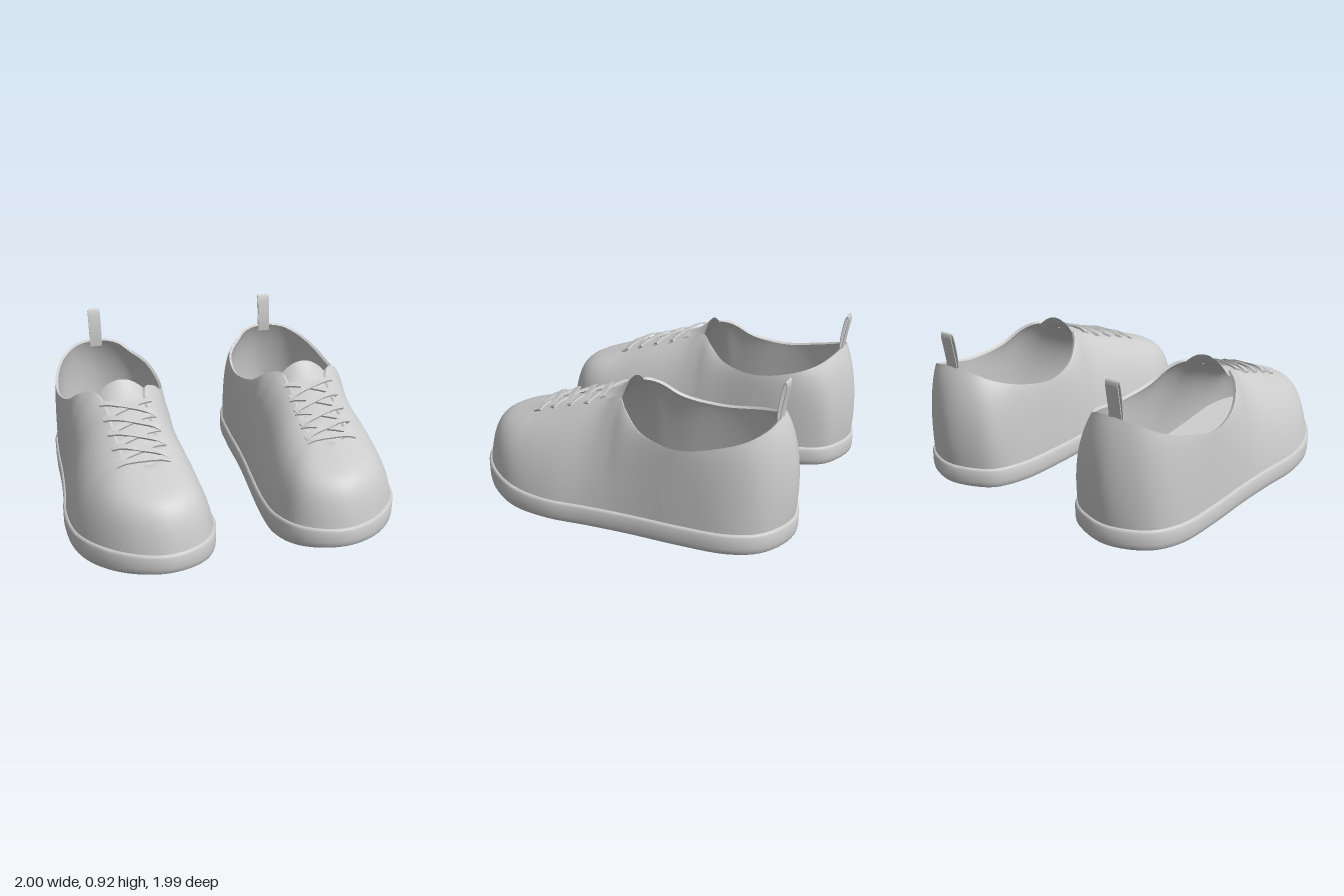
import * as THREE from 'three';
import { toCreasedNormals } from 'three/addons/utils/BufferGeometryUtils.js';

const V = (x, y, z) => new THREE.Vector3(x, y, z);
const { lerp, smoothstep } = THREE.MathUtils;
const AROUND = 130;

// Sole outline [x, z] from the heel, along the outer side, round the toe and back
const SOLE = [
  [.59, -1], [.75, -.955], [.86, -.87], [.93, -.72], [.955, -.45], [.96, -.2], [.965, -.08],
  [.97, 0], [.98, .13], [1, .35], [.965, .6], [.86, .79], [.7, .93], [.52, .99], [.36, .955],
  [.24, .86], [.17, .69], [.162, .5], [.185, .13], [.195, 0], [.2, -.08], [.205, -.2],
  [.21, -.45], [.235, -.72], [.31, -.89], [.43, -.965],
];
// Collar and throat edge [x, y, z], point for point with the outline
const RIM = [
  [.59, .71, -.9], [.74, .69, -.885], [.84, .645, -.8], [.9, .6, -.65], [.925, .56, -.43],
  [.885, .6, -.2], [.82, .685, -.08], [.745, .72, -.01], [.7, .68, .09], [.685, .6, .33],
  [.665, .54, .52], [.64, .525, .58], [.6, .52, .6], [.555, .52, .605], [.51, .52, .6],
  [.47, .525, .58], [.45, .54, .52], [.44, .6, .33], [.445, .68, .09], [.425, .72, -.01],
  [.36, .685, -.08], [.3, .6, -.2], [.255, .56, -.43], [.29, .6, -.68], [.38, .645, -.81],
  [.46, .69, -.875],
];
const soleCurve = new THREE.CatmullRomCurve3(SOLE.map(([x, z]) => V(x, 0, z)), true);
const rimCurve = new THREE.CatmullRomCurve3(RIM.map((p) => V(...p)), true);

// Underside and top edge of the sole, lifted towards the toe
const low = (z) => .05 * Math.max(0, (z - .5) / .5) ** 2;
const high = (z) => .12 + .045 * smoothstep(z, .35, 1);

// Surface through rows of points; closed rows join end to start
function loft(rows, closed) {
  const n = rows[0].length, index = [];
  for (let i = 0; i < rows.length - 1; i++) {
    for (let j = 0; j < (closed ? n : n - 1); j++) {
      const k = (j + 1) % n, a = i * n, b = a + n;
      index.push(a + j, b + j, a + k, b + j, b + k, a + k);
    }
  }
  const g = new THREE.BufferGeometry().setFromPoints(rows.flat());
  g.setIndex(index);
  g.computeVertexNormals();
  return g;
}

// Outline point with its outward direction
function station(j) {
  const t = j / AROUND, p = soleCurve.getPoint(t), d = soleCurve.getTangent(t);
  return { t, p, out: V(d.z, 0, -d.x).normalize() };
}
const stations = Array.from({ length: AROUND }, (_, j) => station(j));

function soleGeometry() {
  // [inset, height from underside to top edge]; null inset closes to the midline
  const profile = [[null, 0], [.012, 0], [.004, .1], [0, .3], [0, .88], [.006, .97], [.014, 1], [.03, .98], [null, .98]];
  const rows = profile.map(([inset, f]) => stations.map(({ p, out }) => {
    const q = p.clone().addScaledVector(out, -(inset ?? .03));
    if (inset === null) q.x = .57;
    q.y = lerp(low(q.z), high(q.z), f);
    return q;
  }));
  return toCreasedNormals(loft(rows, true), .7);
}

function upperGeometry() {
  const steps = 18;
  const walls = stations.map(({ t, p, out }) => {
    const base = p.clone().addScaledVector(out, -.016);
    base.y = high(p.z) - .012;
    const rim = rimCurve.getPoint(t);
    const heel = 1 - smoothstep(p.z, -.98, -.65), toe = smoothstep(p.z, .55, .97);
    const pull = (along, up) => {
      const q = base.clone().lerp(rim, along);
      q.y = lerp(base.y, rim.y, up);
      return q;
    };
    const c1 = pull(lerp(.12, -.3, heel), lerp(lerp(.5, .35, heel), .82, toe));
    const c2 = pull(lerp(lerp(.48, -.1, heel), .32, toe), lerp(lerp(.86, .75, heel), .76, toe));
    return new THREE.CubicBezierCurve3(base, c1, c2, rim).getPoints(steps);
  });
  const rows = [];
  for (let i = 0; i <= steps; i++) rows.push(walls.map((w) => w[i]));
  // Inside lining, back down to the floor
  for (let i = steps; i >= 0; i--) {
    rows.push(walls.map((w, j) => {
      const q = w[i].clone().addScaledVector(stations[j].out, -.016);
      q.y -= .01;
      return q;
    }));
  }
  return toCreasedNormals(loft(rows, true), .9);
}

// Height of the tongue's crown and of the flaps beside it
const crownCurve = new THREE.CatmullRomCurve3(
  [[-.01, .78], [.05, .725], [.1, .69], [.2, .645], [.33, .6], [.46, .56], [.62, .505]].map(([z, y]) => V(0, y, z)));
const crownPoints = crownCurve.getPoints(60);
const crownAt = (z) => crownPoints.reduce((a, b) => (Math.abs(b.z - z) < Math.abs(a.z - z) ? b : a)).y;
const midX = (z) => lerp(.575, .555, z / .6);

function tongueGeometry() {
  const rows = crownCurve.getPoints(28).map((c) => {
    const half = lerp(.148, .12, smoothstep(c.z, 0, .6));
    const drop = lerp(.085, .025, smoothstep(c.z, -.01, .15));
    return Array.from({ length: 17 }, (_, j) => {
      const u = j / 8 - 1;
      return V(midX(c.z) + u * half, c.y - drop * u * u, c.z);
    });
  });
  return loft(rows.reverse(), false);
}

// Flat strap of rectangular section swept along points
function strap(points, side, width, thick, steps) {
  const curve = new THREE.CatmullRomCurve3(points), rows = [];
  for (let i = 0; i <= steps; i++) {
    const p = curve.getPoint(i / steps);
    const n = side.clone().cross(curve.getTangent(i / steps)).normalize();
    rows.push([[1, 1], [-1, 1], [-1, -1], [1, -1]].map(([a, b]) =>
      p.clone().addScaledVector(side, a * width / 2).addScaledVector(n, b * thick / 2)));
  }
  const middle = (row) => row.map(() => row[0].clone().add(row[2]).multiplyScalar(.5));
  rows.unshift(middle(rows[0]));
  rows.push(middle(rows[rows.length - 1]));
  return toCreasedNormals(loft(rows, true), .6);
}

// Lace from the inner flap at z0 to the outer flap at z1
function laceGeometry(z0, z1, lift) {
  const pts = [-1, -.75, -.4, 0, .4, .75, 1].map((u) => {
    const z = lerp(z0, z1, (u + 1) / 2);
    return V(midX(z) + u * .15, crownAt(z) + .016 + lift - .022 * u ** 4, z);
  });
  const side = pts[6].clone().sub(pts[0]).cross(V(0, .93, .37)).normalize();
  return strap(pts, side, .034, .012, 16);
}

function buildShoe(name, material) {
  const shoe = new THREE.Group();
  shoe.name = name;
  const add = (part, geometry) => {
    const mesh = new THREE.Mesh(geometry, material);
    mesh.name = part;
    shoe.add(mesh);
  };
  add('sole', soleGeometry());
  add('upper', upperGeometry());
  add('tongue', tongueGeometry());

  // Criss-cross lacing with a straight bar at the toe end
  const holes = [.11, .22, .335, .45, .55];
  for (let i = 0; i < holes.length - 1; i++) {
    add('lace', laceGeometry(holes[i], holes[i + 1], 0));
    add('lace', laceGeometry(holes[i + 1], holes[i], .008));
  }
  add('laceBar', laceGeometry(.57, .565, 0));

  // Pull loop standing on the heel
  const loop = [[.66, -.885], [.74, -.885], [.83, -.895], [.9, -.91], [.917, -.92], [.9, -.927], [.83, -.917], [.74, -.902], [.66, -.897]];
  add('heelLoop', strap(loop.map(([y, z]) => V(.6, y, z)), V(1, 0, 0), .08, .005, 32));
  return shoe;
}

export function createModel() {
  const model = new THREE.Group();
  model.name = 'pairOfShoes';
  const grey = new THREE.MeshStandardMaterial({ color: 0xcccccc, side: THREE.DoubleSide });
  grey.name = 'light grey';
  const left = buildShoe('leftShoe', grey);
  const right = buildShoe('rightShoe', grey);
  right.scale.x = -1;
  model.add(left, right);
  return model;
}
